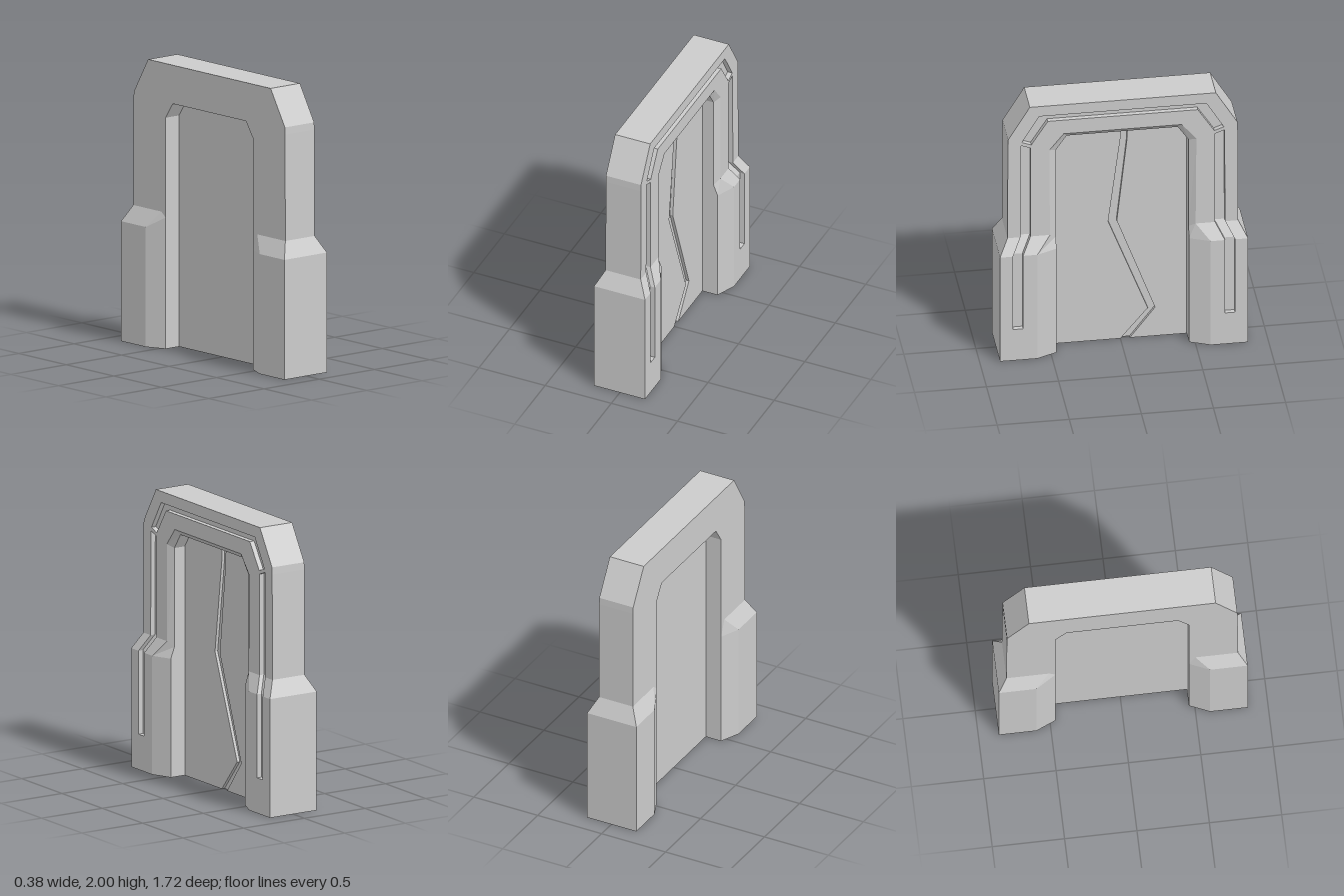
import * as THREE from 'three';

const material = new THREE.MeshStandardMaterial({ color: 0xcccccc, flatShading: true });

// Cross-section of the frame: [z, y] of the outer edge, both groove edges,
// the bevel edge and the inner edge, then face depths and groove depth.
function section(outer, g1, g2, bevel, inner, low, depth) {
  const front = low ? 0.19 : 0.13;
  const back = low ? -0.195 : -0.135;
  const p = ([z, y], x) => new THREE.Vector3(x, y, z);
  return [
    p(outer, back), p(outer, front),
    p(g1, front), p(g1, front - depth), p(g2, front - depth), p(g2, front),
    p(bevel, front), p(inner, low ? 0.13 : 0.1),
    p(inner, -0.135), p(bevel, back),
  ];
}

// Same level cross-section for the straight pillar
const foot = (y, depth) =>
  section([0.86, y], [0.77, y], [0.7, y], [0.6, y], [0.46, y], true, depth);

function createFrameGeometry() {
  const d = 0.035;
  const grooveTop = (depth) => section([0.797, 1.7], [0.705, 1.695], [0.64, 1.67], [0.51, 1.61], [0.46, 1.595], false, depth);
  const bandStart = (depth) => section([0.795, 1.75], [0.7, 1.72], [0.635, 1.695], [0.51, 1.64], [0.46, 1.62], false, depth);
  const half = [
    foot(0, 0), foot(0.25, 0), foot(0.25, d), foot(0.84, d),
    section([0.8, 0.955], [0.71, 0.955], [0.64, 0.955], [0.505, 0.955], [0.46, 0.92], false, d),
    grooveTop(d), grooveTop(0), bandStart(0), bandStart(d),
    section([0.645, 2], [0.58, 1.92], [0.52, 1.875], [0.41, 1.765], [0.385, 1.73], false, d),
  ];
  const mirrored = half.map((ring) => ring.map((v) => new THREE.Vector3(v.x, v.y, -v.z))).reverse();
  const rings = [...half, ...mirrored];

  const positions = [];
  const triangle = new THREE.Triangle();
  const addTriangle = (a, b, c) => {
    triangle.set(a, b, c);
    if (triangle.getArea() > 1e-7) for (const v of [a, b, c]) positions.push(v.x, v.y, v.z);
  };
  const n = rings[0].length;
  for (let i = 0; i < rings.length - 1; i++) {
    for (let j = 0; j < n; j++) {
      const k = (j + 1) % n;
      const a = rings[i], b = rings[i + 1];
      addTriangle(a[j], a[k], b[k]);
      addTriangle(a[j], b[k], b[j]);
    }
  }
  // Soles of the two pillars
  const first = rings[0], last = rings[rings.length - 1];
  for (let j = 1; j < n - 1; j++) {
    addTriangle(first[0], first[j + 1], first[j]);
    addTriangle(last[0], last[j], last[j + 1]);
  }
  const geometry = new THREE.BufferGeometry();
  geometry.setAttribute('position', new THREE.Float32BufferAttribute(positions, 3));
  geometry.computeVertexNormals();
  return geometry;
}

// Flat slab from a [z, y] outline, spanning back to front along x
function createSlab(name, outline, back, front) {
  const shape = new THREE.Shape(outline.map(([z, y]) => new THREE.Vector2(-z, y)));
  const geometry = new THREE.ExtrudeGeometry(shape, { depth: front - back, bevelEnabled: false });
  geometry.rotateY(Math.PI / 2).translate(back, 0, 0);
  const mesh = new THREE.Mesh(geometry, material);
  mesh.name = name;
  return mesh;
}

export function createModel() {
  const model = new THREE.Group();
  model.name = 'gate';

  const frame = new THREE.Mesh(createFrameGeometry(), material);
  frame.name = 'frame';
  model.add(frame);

  // Two door leaves divided by a zigzag channel
  const seamLeft = [[0, 0], [-0.19, 0.23], [0.085, 0.955], [0, 1.62], [0, 1.73]];
  const seamRight = [[-0.065, 0], [-0.24, 0.23], [0.025, 0.955], [-0.045, 1.6], [-0.05, 1.73]];
  const jamb = (side) => [[0.385 * side, 1.73], [0.46 * side, 1.62], [0.46 * side, 0]];
  const door = new THREE.Group();
  door.name = 'door';
  door.add(
    createSlab('leftDoorLeaf', [...seamLeft, ...jamb(1)], -0.015, 0.015),
    createSlab('rightDoorLeaf', [...seamRight, ...jamb(-1)], -0.015, 0.015),
    createSlab('doorSeam', [...seamLeft, ...[...seamRight].reverse()], -0.015, -0.007),
  );
  model.add(door);
  return model;
}
